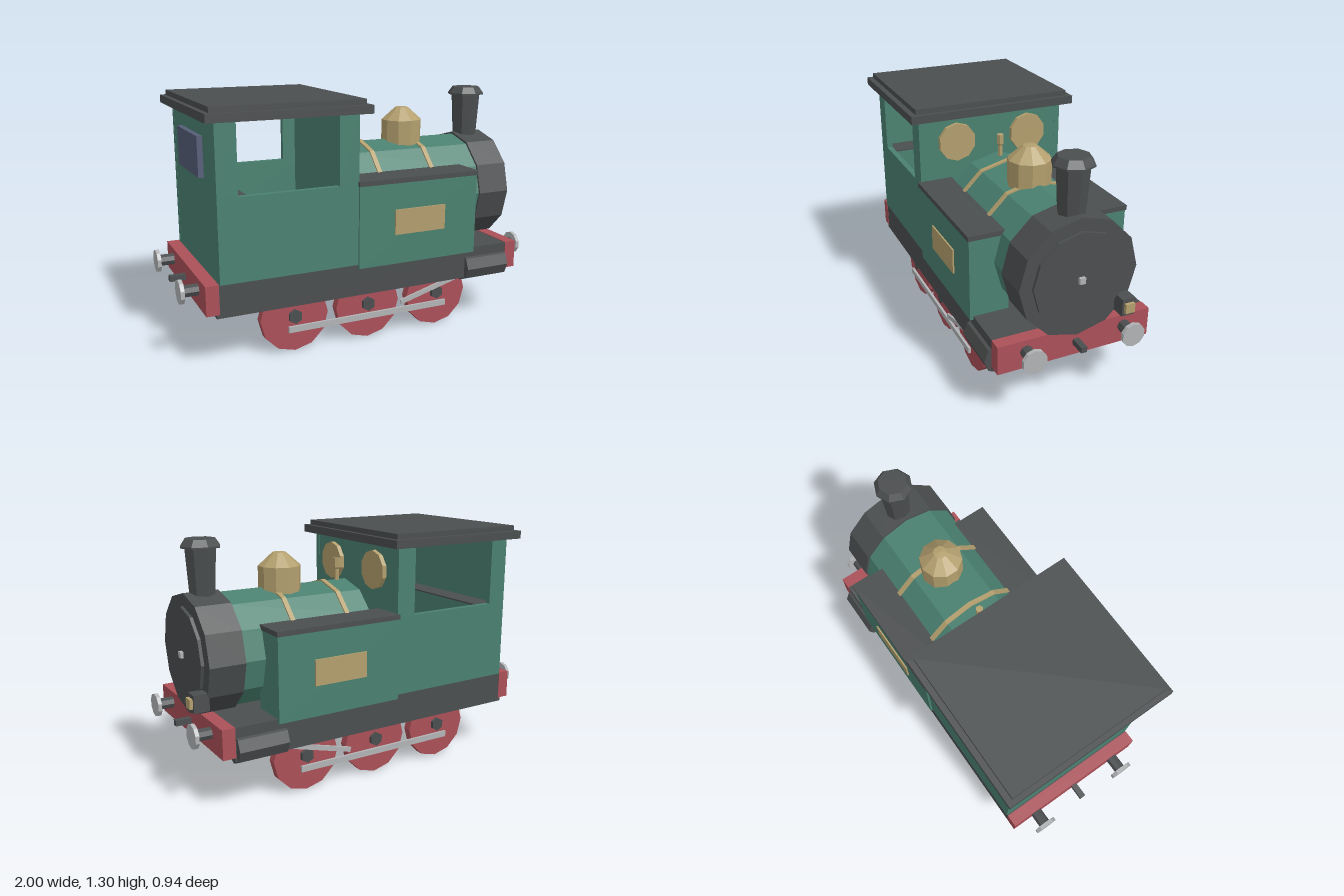
import * as THREE from 'three';

const paint = (name, color) => {
  const m = new THREE.MeshStandardMaterial({ color, flatShading: true });
  m.name = name;
  return m;
};

export function createModel() {
  const green = paint('green paint', 0x4a8170);
  const dark = paint('dark iron', 0x4b4e4f);
  const red = paint('red paint', 0xab5058);
  const brass = paint('brass', 0xb39f6e);
  const steel = paint('steel', 0xb2b4b6);
  const blue = paint('window blue', 0x565e78);

  const model = new THREE.Group();
  model.name = 'locomotive';

  const add = (name, geo, mat) => {
    const m = new THREE.Mesh(geo, mat);
    m.name = name;
    model.add(m);
    return m;
  };
  // Box given by its limits on each axis
  const box = (name, mat, x0, x1, y0, y1, z0, z1) => {
    const m = add(name, new THREE.BoxGeometry(x1 - x0, y1 - y0, z1 - z0), mat);
    m.position.set((x0 + x1) / 2, (y0 + y1) / 2, (z0 + z1) / 2);
    return m;
  };
  // Cylinder lying along x
  const rodX = (name, mat, x0, x1, y, z, r, sides) => {
    const g = new THREE.CylinderGeometry(r, r, x1 - x0, sides);
    if (sides % 4) g.rotateY(Math.PI / 2);
    g.rotateZ(-Math.PI / 2);
    add(name, g, mat).position.set((x0 + x1) / 2, y, z);
  };
  // Cylinder lying along z
  const rodZ = (name, mat, x, y, z0, z1, r, sides) => {
    const g = new THREE.CylinderGeometry(r, r, z1 - z0, sides);
    g.rotateX(Math.PI / 2);
    add(name, g, mat).position.set(x, y, (z0 + z1) / 2);
  };
  // Upright turned part
  const turned = (name, mat, x, sides, profile) => {
    const pts = profile.map(([r, y]) => new THREE.Vector2(r, y));
    add(name, new THREE.LatheGeometry(pts, sides), mat).position.x = x;
  };
  // Range on one axis, mirrored when s is negative
  const side = (s, a, b) => (s > 0 ? [a, b] : [-b, -a]);

  // Chassis
  box('chassis', dark, -0.85, 0.84, 0.27, 0.44, -0.41, 0.41);

  // End beams, bumpers and coupling hooks at both ends
  for (const s of [-1, 1]) {
    box('endBeam', red, ...side(s, 0.835, 0.902), 0.29, 0.443, -0.412, 0.412);
    box('couplingHook', dark, ...side(s, 0.9, 0.985), 0.35, 0.38, -0.016, 0.016);
    for (const z of [-0.265, 0.265]) {
      rodX('bumperShaft', dark, ...side(s, 0.9, 0.98), 0.383, z, 0.032, 8);
      rodX('bumperHead', steel, ...side(s, 0.98, 1.0), 0.383, z, 0.063, 10);
    }
  }

  // Wheels, hubs and axles
  for (const x of [-0.425, -0.005, 0.42]) {
    rodZ('axle', dark, x, 0.19, -0.31, 0.31, 0.03, 8);
    for (const s of [-1, 1]) {
      rodZ('wheel', red, x, 0.186, ...side(s, 0.3, 0.347), 0.186, 12);
      rodZ('wheelHub', dark, x, 0.19, ...side(s, 0.345, 0.366), 0.038, 6);
    }
  }

  // Parts mirrored on both sides
  for (const s of [-1, 1]) {
    // Running gear
    rodX('steamCylinder', dark, 0.565, 0.83, 0.325, s * 0.368, 0.08, 8);
    box('couplingRod', steel, -0.47, 0.465, 0.115, 0.147, ...side(s, 0.368, 0.382));
    const piston = box('pistonRod', steel, 0.17, 0.59, 0.222, 0.248, ...side(s, 0.379, 0.391));
    piston.rotation.z = 0.265;
    // Side tank
    box('sideTank', green, -0.095, 0.61, 0.42, 0.86, ...side(s, 0.22, 0.427));
    box('tankLid', dark, -0.097, 0.615, 0.855, 0.88, ...side(s, 0.24, 0.433));
    box('namePlate', brass, 0.11, 0.41, 0.58, 0.715, ...side(s, 0.426, 0.435));
    // Cab side and its posts
    box('cabSide', green, -0.83, -0.092, 0.44, 0.865, ...side(s, 0.385, 0.416));
    box('rearPost', green, -0.83, -0.725, 0.865, 1.23, ...side(s, 0.385, 0.416));
    box('frontPost', green, -0.2, -0.092, 0.865, 1.23, ...side(s, 0.385, 0.416));
    // Round front window
    rodX('frontWindow', brass, -0.092, -0.068, 1.085, s * 0.208, 0.105, 10);
  }

  // Cab ends, rear bunker, rear window and roof
  box('cabFront', green, -0.125, -0.093, 0.44, 1.23, -0.414, 0.414);
  box('cabBack', green, -0.829, -0.798, 0.44, 1.23, -0.414, 0.414);
  box('bunker', green, -0.8, -0.67, 0.44, 0.85, -0.386, 0.386);
  box('bunkerTop', dark, -0.8, -0.67, 0.85, 0.858, -0.386, 0.386);
  box('rearWindow', blue, -0.857, -0.828, 0.925, 1.13, -0.2, 0.2);
  box('roof', dark, -0.883, -0.04, 1.225, 1.268, -0.468, 0.468);
  box('roofTop', dark, -0.858, -0.065, 1.268, 1.296, -0.438, 0.438);

  // Boiler with bands, smokebox and door
  rodX('boiler', green, -0.03, 0.725, 0.715, 0, 0.298, 12);
  for (const x of [0.112, 0.432]) rodX('boilerBand', brass, x - 0.013, x + 0.013, 0.715, 0, 0.306, 12);
  rodX('smokebox', dark, 0.72, 0.908, 0.715, 0, 0.31, 12);
  rodX('smokeboxDoor', dark, 0.908, 0.925, 0.715, 0, 0.245, 12);
  box('doorKnob', steel, 0.925, 0.942, 0.7, 0.732, -0.015, 0.015);

  // Lamp beside the door
  box('lamp', dark, 0.9, 0.98, 0.495, 0.585, -0.27, -0.2);
  box('lampGlass', brass, 0.98, 0.997, 0.515, 0.565, -0.26, -0.21);

  // Chimney, dome and whistle
  turned('chimney', dark, 0.805, 8, [[0.066, 0.98], [0.082, 1.243], [0.103, 1.243], [0.103, 1.252], [0.078, 1.287], [0, 1.287]]);
  turned('dome', brass, 0.375, 10, [[0.113, 0.97], [0.113, 1.12], [0.036, 1.188], [0, 1.192]]);
  turned('whistle', brass, 0.023, 6, [[0.014, 0.99], [0.014, 1.07], [0.02, 1.08], [0.02, 1.13], [0, 1.13]]);

  return model;
}
